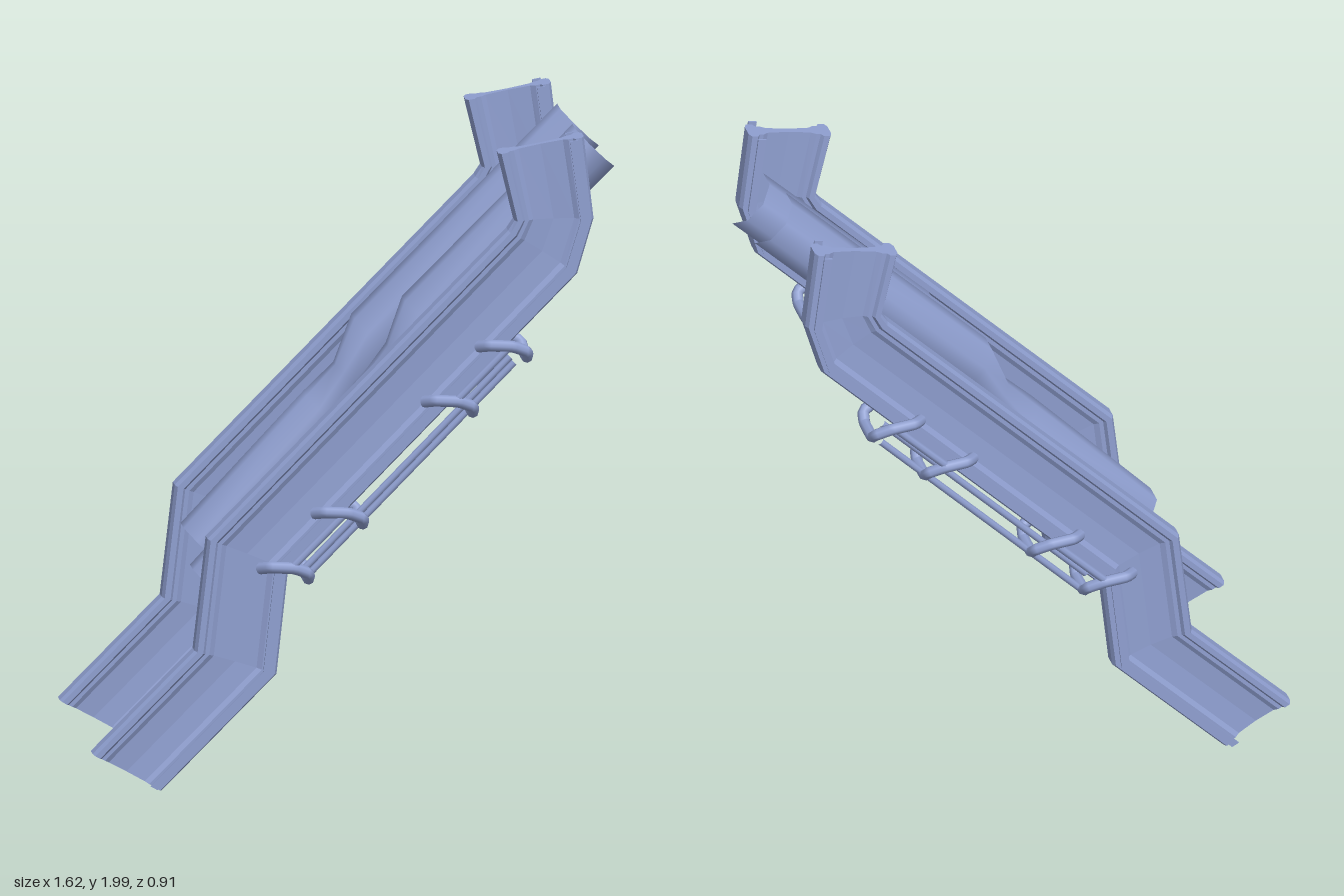
import * as THREE from 'three';

const COLOR = 0x8f9fd0;
const smooth = new THREE.MeshStandardMaterial({ color: COLOR });
const flat = new THREE.MeshStandardMaterial({ color: COLOR, flatShading: true });
const V = (x, y, z) => new THREE.Vector3(x, y, z);

// Skin closed rings of points; capped ends pair each point with its mirror
function loft(rings, capped) {
  const n = rings[0].length, idx = [], last = (rings.length - 1) * n;
  for (let i = 0; i < rings.length - 1; i++) for (let j = 0; j < n; j++) {
    const a = i * n + j, b = i * n + (j + 1) % n;
    idx.push(a, b, a + n, b, b + n, a + n);
  }
  if (capped) for (let j = 0; j < n / 2 - 1; j++) {
    const k = n - 1 - j;
    idx.push(j, k, j + 1, j + 1, k, k - 1);
    idx.push(last + j, last + j + 1, last + k, last + j + 1, last + k - 1, last + k);
  }
  const g = new THREE.BufferGeometry().setFromPoints(rings.flat());
  g.setIndex(idx);
  g.computeVertexNormals();
  return g;
}

function add(group, name, geometry, material) {
  const m = new THREE.Mesh(geometry, material);
  m.name = name;
  group.add(m);
  return m;
}

// Bent rod through points
function rod(group, name, pts, r = 0.012) {
  const path = new THREE.CurvePath();
  for (let i = 1; i < pts.length; i++) path.add(new THREE.LineCurve3(pts[i - 1], pts[i]));
  const curve = pts.length > 2 ? new THREE.CatmullRomCurve3(pts, false, 'catmullrom', 0.15) : path;
  add(group, name, new THREE.TubeGeometry(curve, pts.length > 2 ? pts.length * 4 : 1, r, 8), smooth);
}

// Upper and lower edges of the side beam
const UPPER = [[-0.81, 0.13], [-0.5, 0.44], [-0.46, 0.785], [0.455, 1.71], [0.475, 1.74], [0.425, 1.95]];
const LOWER = [[-0.6, 0.01], [-0.25, 0.36], [-0.215, 0.68], [0.665, 1.57], [0.715, 1.74], [0.685, 1.995]];

// Sweep a cross-section (u = upper to lower edge, w = sideways) along the beam
const sweep = section => loft(UPPER.map((p, i) => section.map(([u, w]) =>
  V(p[0] + (LOWER[i][0] - p[0]) * u, p[1] + (LOWER[i][1] - p[1]) * u, w))), true);

function sideBeam(side) {
  const g = new THREE.Group();
  g.name = side > 0 ? 'frontBeam' : 'backBeam';
  g.position.z = side * 0.35;

  // Web with a thick lip along each edge
  const half = [[0, 0.02], [0.03, 0.036], [0.1, 0.036], [0.13, 0.024], [0.18, 0.024], [0.24, 0.014],
    [0.5, 0.009], [0.76, 0.014], [0.82, 0.024], [0.87, 0.024], [0.9, 0.036], [0.97, 0.036], [1, 0.02]];
  const mirrored = half.map(([u, w]) => [u, -w]).reverse();
  add(g, 'channelBeam', sweep([...half, ...mirrored]), flat);

  // Thin strips beside the lower lip
  for (const s of [-1, 1]) {
    const c = s * 0.053, t = 0.003;
    add(g, 'edgeStrip', sweep([[0.82, c + t], [0.92, c + t], [0.92, c - t], [0.82, c - t]]), flat);
  }

  // Two clamps, each of two hooks joined by side bars
  for (const d of [0, -0.5]) {
    for (const k of [0, -0.165]) {
      const o = d + k;
      const arm = s => [V(0.36 + o, 1.36 + o, s * 0.05), V(0.39 + o, 1.37 + o, s * 0.083),
        V(0.46 + o, 1.365 + o, s * 0.085), V(0.505 + o, 1.345 + o, s * 0.07), V(0.51 + o, 1.32 + o, s * 0.04)];
      rod(g, 'clampHook', [...arm(1), ...arm(-1).reverse()], 0.018);
    }
    for (const s of [-1, 1])
      rod(g, 'clampBar', [V(0.45 + d, 1.365 + d, s * 0.085), V(0.285 + d, 1.2 + d, s * 0.085)], 0.012);
  }

  // Rods slung under the beam
  rod(g, 'underRod', [V(-0.18, 0.67, 0.025), V(0.46, 1.32, 0.025)], 0.011);
  rod(g, 'underRod', [V(-0.16, 0.64, -0.025), V(0.48, 1.29, -0.025)], 0.011);

  // Inner handrail
  const z = side > 0 ? -0.12 : 0.155;
  const base = -side * 0.03;
  rod(g, 'innerRail', [V(-0.32, 0.66, base), V(-0.32, 0.66, z * 0.93), V(-0.305, 0.675, z),
    V(0.415, 1.405, z), V(0.43, 1.42, z * 0.93), V(0.43, 1.42, base)], 0.012);

  // Zigzag bracing on the back handrail
  if (side < 0) {
    for (let i = 0; i < 4; i++) {
      const at = k => V(-0.31 + k * 0.055, 0.67 + k * 0.056, k % 2 ? z : 0.045);
      rod(g, 'brace', [at(i), at(i + 1)], 0.009);
    }
  }
  return g;
}

// Open eight-sided tube, pinched where it steps up; stations are x, y, radius
function pinchedTube(name, z, stations) {
  const rings = stations.map(([x, y, r]) => Array.from({ length: 8 }, (_, j) => {
    const a = (j + 0.5) * Math.PI / 4, R = r / Math.cos(Math.PI / 8);
    const n = Math.cos(a) * R * Math.SQRT1_2;
    return V(x - n, y + n, z + Math.sin(a) * R);
  }));
  const m = new THREE.Mesh(loft(rings, false), smooth);
  m.name = name;
  return m;
}

export function createModel() {
  const model = new THREE.Group();
  model.name = 'conveyorFrame';
  model.add(sideBeam(1), sideBeam(-1));
  model.add(pinchedTube('backTube', -0.044, [[-0.42, 0.67, 0.082], [-0.05, 1.07, 0.078],
    [0.02, 1.18, 0.05], [0.1, 1.3, 0.083], [0.727, 1.93, 0.083]]));
  model.add(pinchedTube('frontTube', 0.12, [[-0.415, 0.58, 0.082], [0.09, 1.14, 0.074],
    [0.16, 1.27, 0.055], [0.23, 1.39, 0.082], [0.75, 1.905, 0.083]]));
  return model;
}
